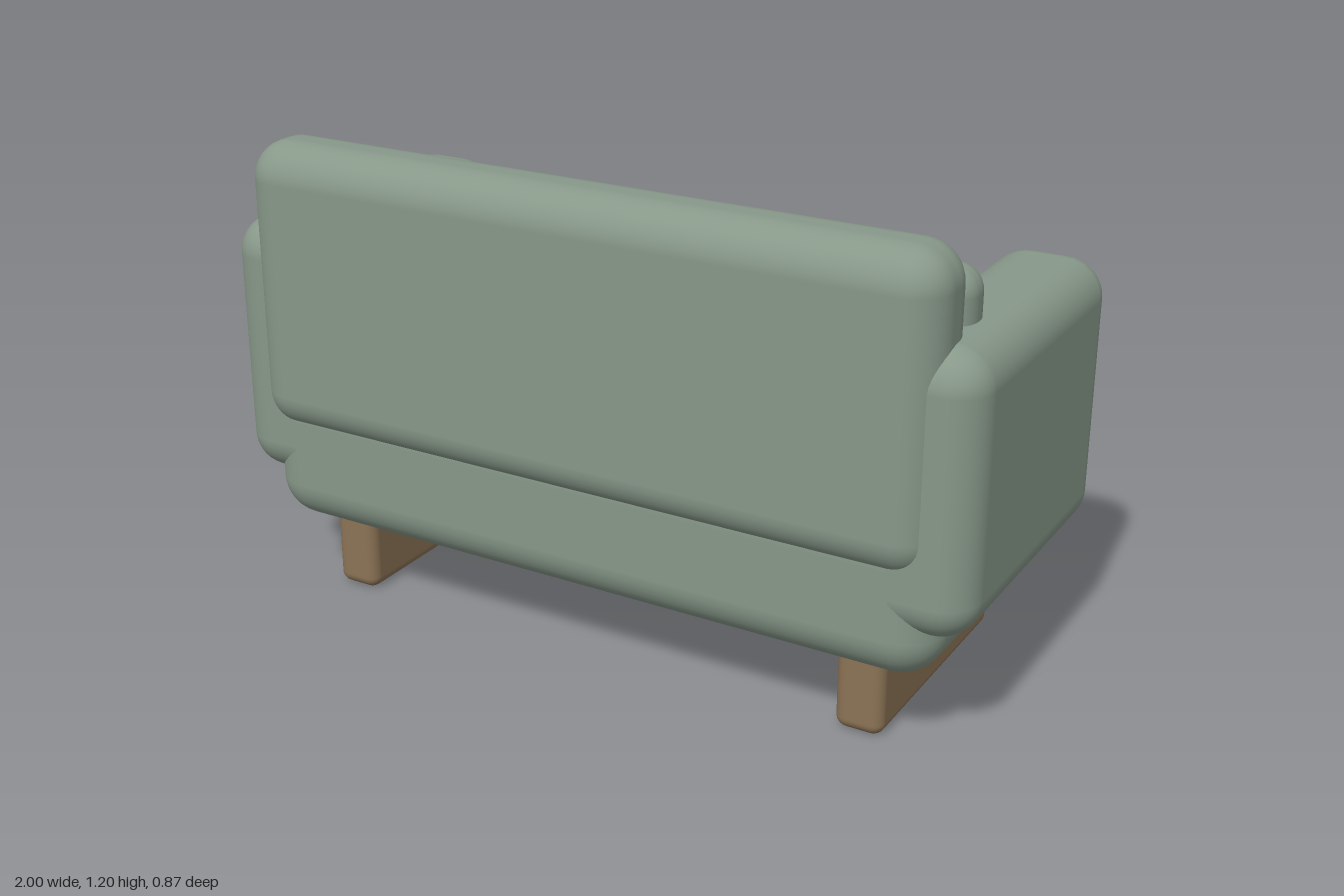
import * as THREE from 'three';
import { RoundedBoxGeometry } from 'three/addons/geometries/RoundedBoxGeometry.js';

function material(name, color) {
  const m = new THREE.MeshStandardMaterial({ color });
  m.name = name;
  return m;
}

export function createModel() {
  const sofa = new THREE.Group();
  sofa.name = 'sofa';

  const fabric = material('sageFabric', 0x879889);
  const wood = material('wood', 0x8b7355);
  const amber = material('amberFabric', 0xcd9850);
  const cream = material('creamFabric', 0xd4c2ae);

  // Rounded block spanning [min, max] on each axis
  function block(name, mat, [x0, x1], [y0, y1], [z0, z1], radius) {
    const geo = new RoundedBoxGeometry(x1 - x0, y1 - y0, z1 - z0, 5, radius);
    const mesh = new THREE.Mesh(geo, mat);
    mesh.name = name;
    mesh.position.set((x0 + x1) / 2, (y0 + y1) / 2, (z0 + z1) / 2);
    sofa.add(mesh);
    return mesh;
  }

  // Upholstered body; the seat opens towards -z
  block('base', fabric, [-0.92, 0.92], [0.195, 0.585], [-0.435, 0.405], 0.11);
  block('backrest', fabric, [-0.91, 0.91], [0.46, 1.2], [0.215, 0.435], 0.095);

  // Mirrored parts
  for (const s of [1, -1]) {
    const side = s > 0 ? 'left' : 'right';
    const span = (a, b) => (s > 0 ? [a, b] : [-b, -a]);

    block(side + 'Arm', fabric, span(0.725, 1), [0.315, 0.99], [-0.435, 0.405], 0.095);
    block(side + 'SeatCushion', fabric, span(0.12, 0.89), [0.575, 0.72], [-0.38, 0.22], 0.065);
    block(side + 'BackCushion', fabric, span(0.12, 0.9), [0.7, 1.11], [0.105, 0.24], 0.062);
    block(side + 'Leg', wood, span(0.66, 0.78), [0, 0.22], [-0.345, 0.315], 0.03);

    // Throw pillow, turned slightly towards the arm
    const pillow = block(side + 'Pillow', s > 0 ? amber : cream,
      span(0.411, 0.721), [0.695, 1.005], [0.008, 0.078], 0.032);
    pillow.rotation.y = s * 0.14;
  }

  return sofa;
}
